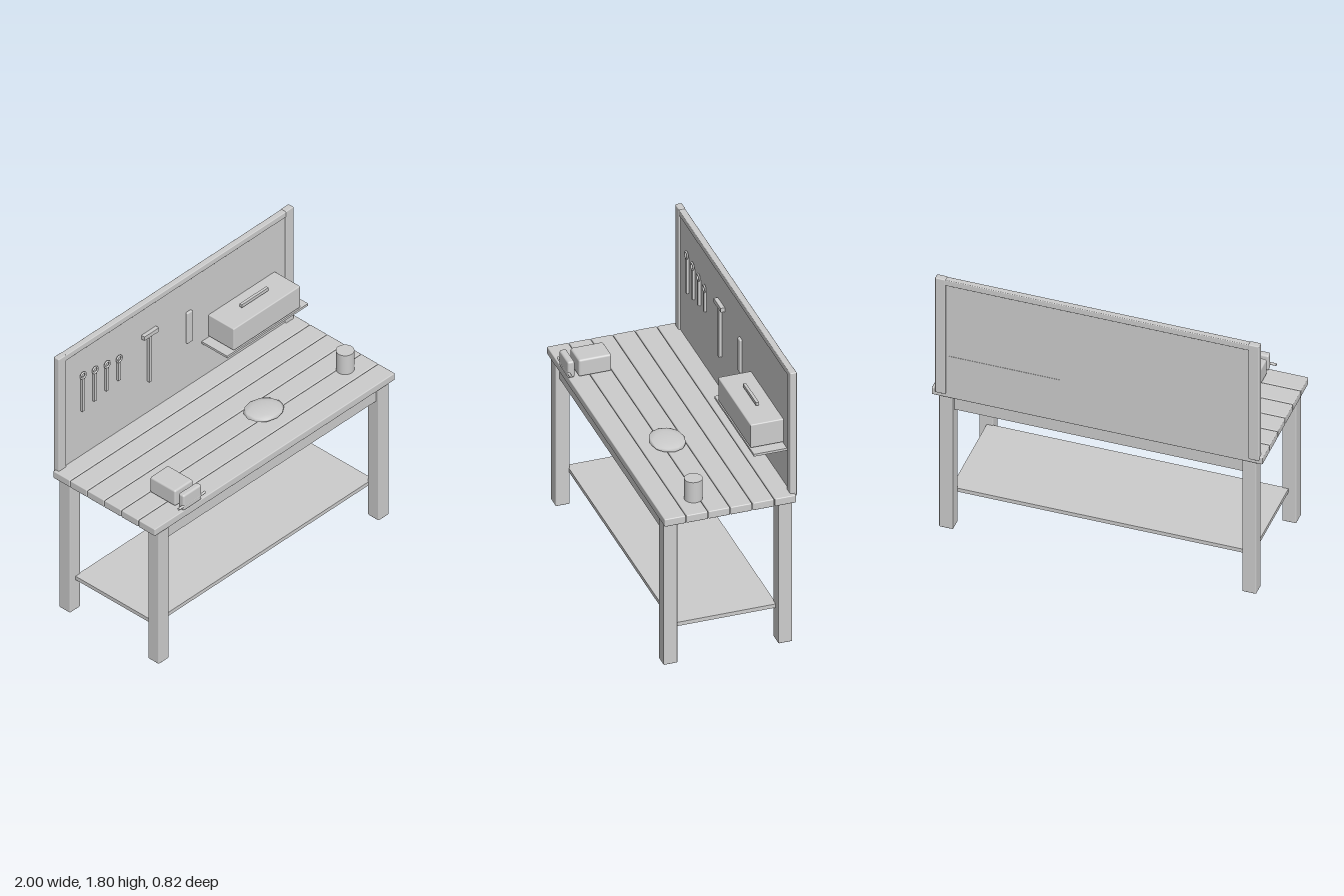
import * as THREE from 'three';
import { mergeVertices } from 'three/addons/utils/BufferGeometryUtils.js';
import { RoundedBoxGeometry } from 'three/addons/geometries/RoundedBoxGeometry.js';

export function createModel() {
  const root = new THREE.Group();
  root.name = 'workbench';
  const grey = new THREE.MeshStandardMaterial({ color: 0xcccccc });
  grey.name = 'plain grey';

  const add = (name, geometry, x, y, z, parent = root) => {
    const mesh = new THREE.Mesh(geometry, grey);
    mesh.name = name;
    mesh.position.set(x, y, z);
    parent.add(mesh);
    return mesh;
  };
  // Box given by its limits on each axis, with an optional rounded edge
  const box = (name, [x0, x1], [y0, y1], [z0, z1], r = 0, parent = root) => {
    const size = [x1 - x0, y1 - y0, z1 - z0];
    const geometry = r
      ? new RoundedBoxGeometry(...size, 2, r)
      : new THREE.BoxGeometry(...size);
    return add(name, geometry, (x0 + x1) / 2, (y0 + y1) / 2, (z0 + z1) / 2, parent);
  };
  const group = (name) => {
    const g = new THREE.Group();
    g.name = name;
    root.add(g);
    return g;
  };

  // Table top: six planks with narrow gaps
  const top = group('tableTop');
  const pitch = 0.8 / 6;
  for (let i = 0; i < 6; i++) {
    const z = -0.4 + i * pitch;
    box('plank', [-0.998, 0.998], [0.95, 1.0], [z + 0.002, z + pitch - 0.002], 0.006, top);
  }

  // Legs and the long aprons between them
  const frame = group('tableFrame');
  for (const sz of [1, -1]) {
    for (const sx of [1, -1]) {
      const leg = new RoundedBoxGeometry(0.085, 0.945, 0.085, 2, 0.006);
      add('leg', leg, sx * 0.914, 0.4725, sz * 0.347, frame);
    }
    add('apron', new THREE.BoxGeometry(1.78, 0.09, 0.04), 0, 0.896, sz * 0.347, frame);
  }
  box('lowerShelf', [-0.91, 0.91], [0.215, 0.24], [-0.31, 0.31]);

  // Back board: posts, top rail and thin panel
  const back = group('backBoard');
  box('leftPost', [0.91, 0.974], [0.98, 1.805], [-0.411, -0.37], 0.006, back);
  box('rightPost', [-0.98, -0.916], [0.98, 1.805], [-0.411, -0.37], 0.006, back);
  box('topRail', [-0.95, 0.945], [1.762, 1.802], [-0.41, -0.372], 0.005, back);
  box('panel', [-0.95, 0.945], [0.98, 1.78], [-0.402, -0.38], 0, back);

  // Row of ring wrenches, each shorter than the last
  const wrenches = group('wrenches');
  for (let i = 0; i < 4; i++) {
    const x = -0.78 + i * 0.1;
    const y = 1.581 - i * 0.0165;
    const bottom = 1.325 + i * 0.0175;
    add('wrenchRing', new THREE.TorusGeometry(0.02, 0.006, 8, 20), x, y, -0.367, wrenches);
    box('wrenchHandle', [x - 0.01, x + 0.01], [bottom, y - 0.018], [-0.381, -0.364], 0, wrenches);
  }

  // Hammer
  const hammer = group('hammer');
  box('hammerHead', [-0.283, -0.163], [1.556, 1.583], [-0.382, -0.355], 0, hammer);
  box('hammerHandle', [-0.235, -0.213], [1.225, 1.558], [-0.381, -0.361], 0, hammer);

  // Rounded hanging tool
  box('hangingTool', [0.086, 0.131], [1.315, 1.538], [-0.385, -0.365], 0.008);

  // Wall shelf that pierces the panel, with a toolbox on it
  box('wallShelf', [0.218, 0.89], [1.24, 1.255], [-0.404, -0.18]);
  const toolbox = group('toolbox');
  box('toolboxBody', [0.275, 0.829], [1.26, 1.415], [-0.385, -0.182], 0.007, toolbox);
  box('toolboxHandle', [0.44, 0.661], [1.428, 1.449], [-0.292, -0.274], 0, toolbox);

  // Bench vise: body, outer jaw and turning bar
  const vise = group('vise');
  box('viseBody', [-0.768, -0.617], [1.004, 1.115], [0.142, 0.34], 0.012, vise);
  box('viseJaw', [-0.768, -0.617], [1.006, 1.115], [0.365, 0.407], 0.012, vise);
  add('viseBar', new THREE.CylinderGeometry(0.008, 0.008, 0.222, 10), -0.693, 1.038, 0.4, vise)
    .rotation.z = Math.PI / 2;

  // Crumpled rag: coarse smooth flattened ball
  const ball = new THREE.IcosahedronGeometry(1, 1);
  ball.deleteAttribute('normal');
  ball.deleteAttribute('uv');
  const ragGeometry = mergeVertices(ball, 1e-3).scale(0.13, 0.02, 0.108);
  ragGeometry.computeVertexNormals();
  add('rag', ragGeometry, 0.218, 1.02, 0.105).rotation.z = -0.04;

  // Can
  add('can', new THREE.CylinderGeometry(0.053, 0.053, 0.135, 32), 0.831, 1.0675, 0.165);

  return root;
}
